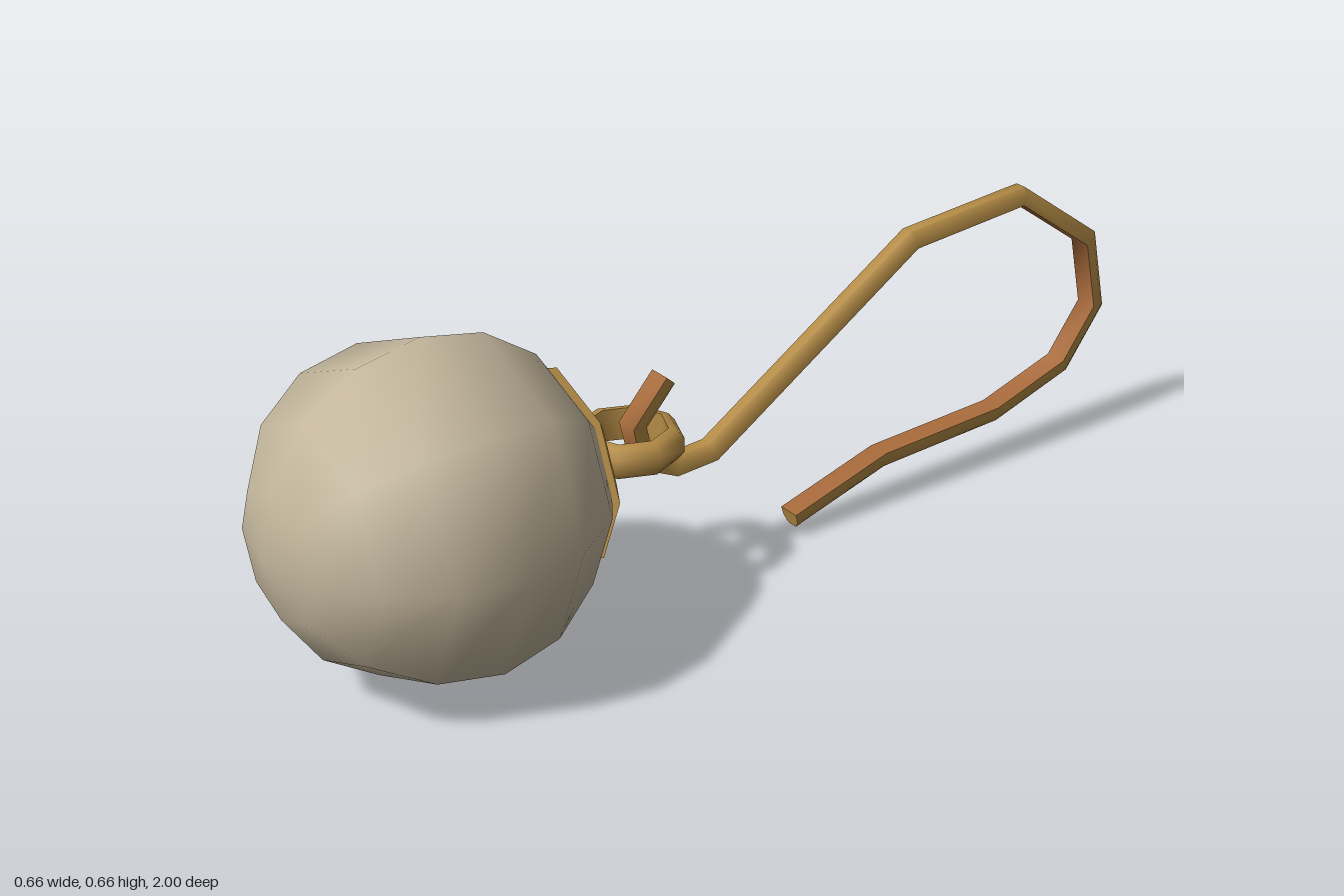
import * as THREE from 'three';
import { toCreasedNormals } from 'three/addons/utils/BufferGeometryUtils.js';

// Sweeps a cross-section [x, n] along a path [z, y] with mitred bends
function sweep(path, section, capped) {
  const normals = path.slice(1).map(([z, y], i) =>
    new THREE.Vector2(z - path[i][0], y - path[i][1]).normalize())
    .map(d => new THREE.Vector2(-d.y, d.x));
  const rows = path.map(([z, y], i) => {
    const m = normals[Math.max(i - 1, 0)].clone().add(normals[Math.min(i, normals.length - 1)]);
    m.multiplyScalar(2 / m.lengthSq());
    return section.map(([x, n]) => [x, y + m.y * n, z + m.x * n]);
  });
  const pos = [];
  const tri = (a, b, c) => pos.push(...a, ...b, ...c);
  for (let i = 0; i < rows.length - 1; i++) {
    for (let j = 0; j < section.length - 1; j++) {
      const a = rows[i][j], b = rows[i][j + 1], c = rows[i + 1][j + 1], d = rows[i + 1][j];
      tri(a, b, c);
      tri(a, c, d);
    }
  }
  if (capped) {
    const s = rows[0], e = rows[rows.length - 1];
    for (let j = 1; j < section.length - 1; j++) {
      tri(s[0], s[j + 1], s[j]);
      tri(e[0], e[j], e[j + 1]);
    }
  }
  const geo = new THREE.BufferGeometry();
  geo.setAttribute('position', new THREE.Float32BufferAttribute(pos, 3));
  return toCreasedNormals(geo, 1.0);
}

export function createModel() {
  const pearl = new THREE.MeshStandardMaterial({ color: 0xc2b59b });
  pearl.name = 'pearl';
  const gold = new THREE.MeshStandardMaterial({ color: 0xb58c46 });
  gold.name = 'gold';
  const copper = new THREE.MeshStandardMaterial({ color: 0xa5693a });
  copper.name = 'copper';

  const model = new THREE.Group();
  model.name = 'earring';
  const add = (name, geo, mat, y = 0, z = 0, parent = model) => {
    const mesh = new THREE.Mesh(geo, mat);
    mesh.name = name;
    mesh.position.set(0, y, z);
    parent.add(mesh);
    return mesh;
  };
  const profile = pts => pts.map(p => new THREE.Vector2(...p));

  // Bead with its poles on the z axis
  add('bead', new THREE.SphereGeometry(0.331, 8, 8).rotateX(Math.PI / 2), pearl, 0.333, 0.667);

  // Domed cap on the back of the bead
  const dome = new THREE.LatheGeometry(profile([[0.195, 0], [0.13, 0.037], [0, 0.055]]), 8);
  add('cap', dome.rotateX(-Math.PI / 2), gold, 0.333, 0.39);
  add('capUnderside', new THREE.CircleGeometry(0.195, 8), gold, 0.333, 0.39);

  // Flat-sided ring lying level, rounded on the outside
  const ring = new THREE.LatheGeometry(profile([
    [0.08, 0.033], [0.08, -0.033], [0.097, -0.03], [0.11, -0.014],
    [0.11, 0.014], [0.097, 0.03], [0.08, 0.033]]), 8);
  add('ring', toCreasedNormals(ring, 1.0), gold, 0.333, 0.24);

  // Ear hook: rounded outer wire with a flat inner face
  const path = [
    [0.15, 0.44], [0.222, 0.36], [0.205, 0.287], [0.136, 0.254], [0.05, 0.259],
    [-0.447, 0.577], [-0.741, 0.602], [-0.944, 0.46], [-0.979, 0.297],
    [-0.89, 0.18], [-0.698, 0.12], [-0.388, 0.107], [-0.155, 0.04]];
  const hook = new THREE.Group();
  hook.name = 'earHook';
  model.add(hook);
  add('hookWire', sweep(path, [
    [-0.024, 0.017], [-0.023, -0.003], [-0.012, -0.018],
    [0.012, -0.018], [0.023, -0.003], [0.024, 0.017]], true), gold, 0, 0, hook);
  add('hookInnerFace', sweep(path, [[0.024, 0.017], [-0.024, 0.017]], false), copper, 0, 0, hook);

  return model;
}
